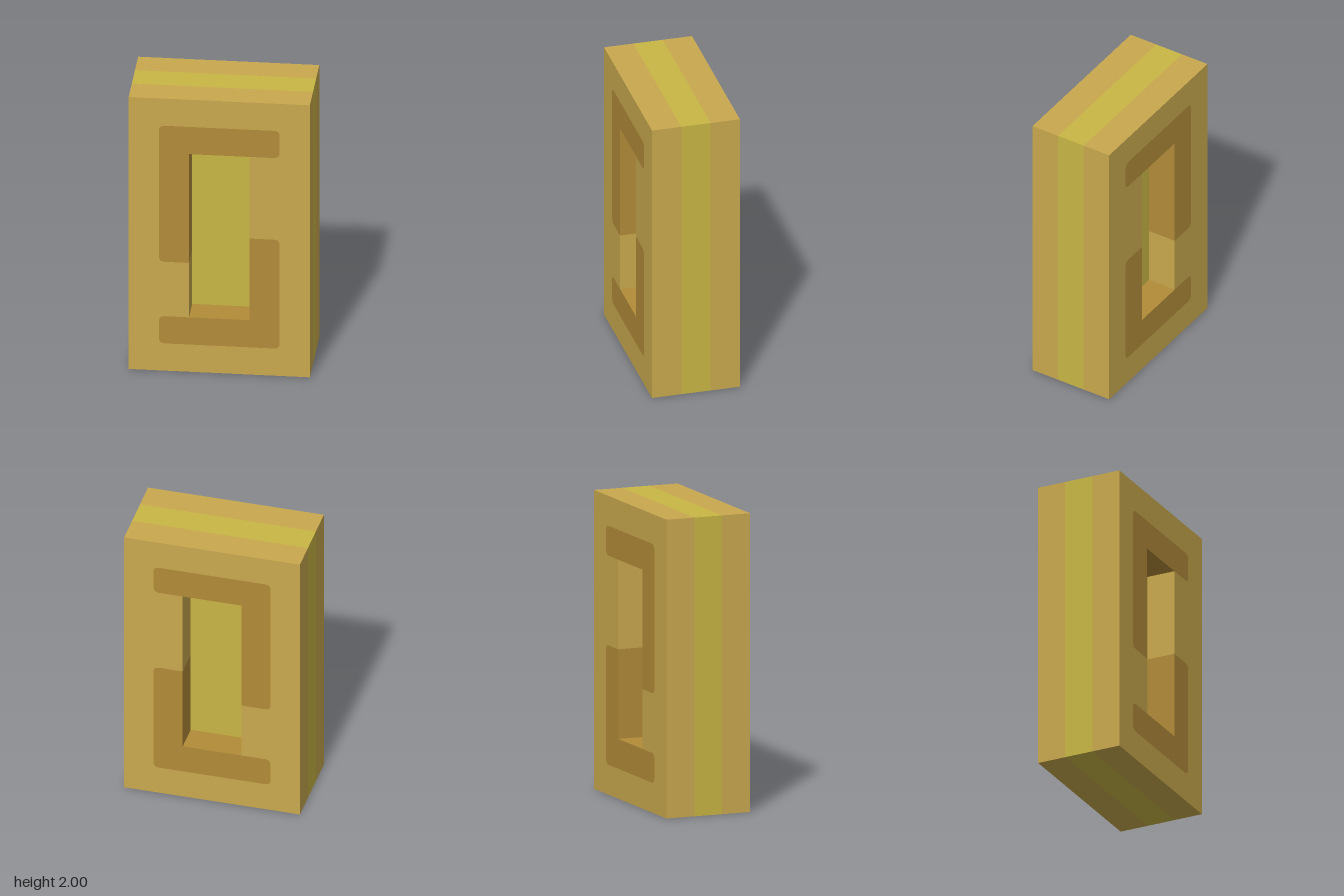
import * as THREE from 'three';

const tan = new THREE.MeshStandardMaterial({ name: 'tan', color: 0xc9a94e });
const brown = new THREE.MeshStandardMaterial({ name: 'brown', color: 0xb28b39 });
const yellow = new THREE.MeshStandardMaterial({ name: 'yellow', color: 0xc8b645 });

const RADIUS = 0.04;
const DEPTH = 0.2;

// Polygon path; corners given as [x, y, 1] are rounded
function trace(path, corners) {
  const n = corners.length;
  corners.forEach(([x, y, round], i) => {
    const toward = ([px, py]) => {
      const d = Math.hypot(px - x, py - y);
      const r = round ? RADIUS : 0;
      return [x + ((px - x) * r) / d, y + ((py - y) * r) / d];
    };
    const start = toward(corners[(i + n - 1) % n]);
    const end = toward(corners[(i + 1) % n]);
    if (i === 0) path.moveTo(...start);
    else path.lineTo(...start);
    if (round) path.quadraticCurveTo(x, y, ...end);
  });
  path.closePath();
  return path;
}

// Hooked bands wrapped around the window
const upperHook = [[-0.4, 1.8, 1], [0.4, 1.8, 1], [0.4, 1.6, 1], [0.2, 1.6], [-0.2, 1.6], [-0.2, 0.8], [-0.4, 0.8, 1]];
const lowerHook = [[0.4, 0.2, 1], [-0.4, 0.2, 1], [-0.4, 0.4, 1], [-0.2, 0.4], [0.2, 0.4], [0.2, 1], [0.4, 1, 1]];

// Opening in the frame: window plus both hooks
const opening = [
  [-0.4, 1.8, 1], [0.4, 1.8, 1], [0.4, 1.6, 1], [0.2, 1.6], [0.2, 1], [0.4, 1, 1],
  [0.4, 0.2, 1], [-0.4, 0.2, 1], [-0.4, 0.4, 1], [-0.2, 0.4], [-0.2, 0.8], [-0.4, 0.8, 1],
];

function slab(name, shape, material) {
  const geometry = new THREE.ExtrudeGeometry(shape, { depth: DEPTH, bevelEnabled: false, curveSegments: 5 });
  const mesh = new THREE.Mesh(geometry, material);
  mesh.name = name;
  return mesh;
}

// One outer layer: frame with flush inlaid hooks
function createLayer(name, z) {
  const layer = new THREE.Group();
  layer.name = name;
  const frame = trace(new THREE.Shape(), [[-0.6, 0], [0.6, 0], [0.6, 2], [-0.6, 2]]);
  frame.holes.push(trace(new THREE.Path(), opening));
  layer.add(
    slab('frame', frame, tan),
    slab('upperHook', trace(new THREE.Shape(), upperHook), brown),
    slab('lowerHook', trace(new THREE.Shape(), lowerHook), brown),
  );
  layer.position.z = z;
  return layer;
}

export function createModel() {
  const model = new THREE.Group();
  model.name = 'layeredBlock';

  // Solid middle layer, seen through both windows
  const core = new THREE.Mesh(new THREE.BoxGeometry(1.2, 2, DEPTH), yellow);
  core.name = 'core';
  core.position.y = 1;

  model.add(core, createLayer('frontLayer', 0.1), createLayer('backLayer', -0.3));
  return model;
}
